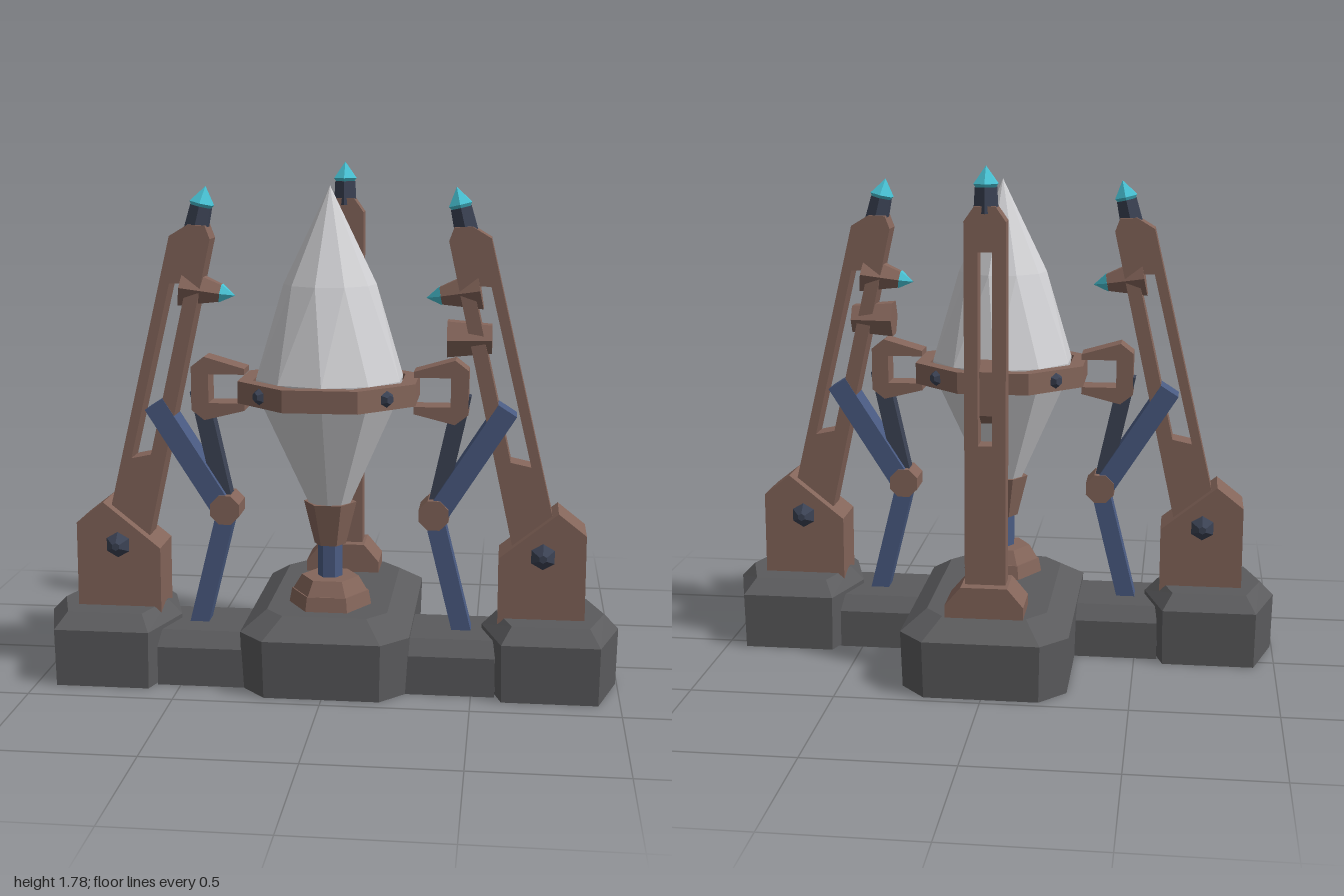
import * as THREE from 'three';

const mat = (name, color) => Object.assign(new THREE.MeshStandardMaterial({ color }), { name });

export function createModel() {
  const stone = mat('stone', 0x5b5b5d), bronze = mat('bronze', 0x84655a), blue = mat('blue steel', 0x4a5b82);
  const dark = mat('dark metal', 0x3c4355), cyan = mat('cyan crystal', 0x48c2d4), pale = mat('pale crystal', 0xd2d2d5);

  const root = new THREE.Group();
  root.name = 'crystalShrine';
  const CZ = 0.175; // depth of the crystal's axis
  const hub = new THREE.Group();
  hub.name = 'hub';
  hub.position.z = CZ;
  root.add(hub);

  // Faceted mesh with one normal per face
  function add(parent, name, geo, material, x = 0, y = 0, z = 0) {
    const g = geo.index ? geo.toNonIndexed() : geo;
    g.computeVertexNormals();
    const m = new THREE.Mesh(g, material);
    m.name = name;
    m.position.set(x, y, z);
    parent.add(m);
    return m;
  }

  // Frustum whose corners point along x when turned
  const frustum = (rTop, rBottom, h, n = 6, turn = 0) => new THREE.CylinderGeometry(rTop, rBottom, h, n).rotateY(turn);

  // Outline in x and y, extruded evenly about z = 0
  function plate(points, depth, hole) {
    const shape = new THREE.Shape(points.map(p => new THREE.Vector2(...p)));
    if (hole) shape.holes.push(new THREE.Path(hole.map(p => new THREE.Vector2(...p))));
    return new THREE.ExtrudeGeometry(shape, { depth, bevelEnabled: false }).translate(0, 0, -depth / 2);
  }

  // Convex x,z outline lofted through levels [y, scaleX, scaleZ]
  function loft(outline, levels) {
    const pos = [], n = outline.length;
    const at = (l, i) => [outline[i % n][0] * l[1], l[0], outline[i % n][1] * l[2]];
    for (let i = 0; i < n; i++) {
      for (let k = 0; k + 1 < levels.length; k++) {
        const a = at(levels[k], i), b = at(levels[k], i + 1), c = at(levels[k + 1], i + 1), d = at(levels[k + 1], i);
        pos.push(...a, ...b, ...c, ...a, ...c, ...d);
      }
      const lo = levels[0], hi = levels[levels.length - 1];
      pos.push(0, hi[0], 0, ...at(hi, i), ...at(hi, i + 1));
      pos.push(0, lo[0], 0, ...at(lo, i + 1), ...at(lo, i));
    }
    const g = new THREE.BufferGeometry();
    g.setAttribute('position', new THREE.Float32BufferAttribute(pos, 3));
    return g;
  }

  // Square bar between two points in the x,y plane
  function strut(parent, name, a, b, width, depth, material) {
    const dx = b[0] - a[0], dy = b[1] - a[1];
    const m = add(parent, name, new THREE.BoxGeometry(width, Math.hypot(dx, dy), depth), material,
      (a[0] + b[0]) / 2, (a[1] + b[1]) / 2, 0);
    m.rotation.z = -Math.atan2(dx, dy);
  }

  // Dark collar with a cyan gem, standing on a tower
  function finial(parent, x, y, tilt) {
    const g = new THREE.Group();
    g.name = 'finial';
    g.position.set(x, y, 0);
    g.rotation.z = tilt;
    add(g, 'finialCollar', frustum(0.04, 0.045, 0.085), dark, 0, 0.0275, 0);
    const gem = [[0.036, 0], [0.045, 0.013], [0, 0.072]].map(p => new THREE.Vector2(...p));
    add(g, 'finialGem', new THREE.LatheGeometry(gem, 6), cyan, 0, 0.068, 0);
    parent.add(g);
  }

  // Stone foundations
  add(root, 'centreBase', loft(
    [[-0.2, 0.47], [0.2, 0.47], [0.29, 0.37], [0.29, -0.37], [0.2, -0.47], [-0.2, -0.47], [-0.29, -0.37], [-0.29, 0.37]],
    [[0, 0.98, 0.98], [0.2, 1, 1], [0.26, 0.72, 0.78]]), stone, 0, 0, -0.01);
  const outerHex = [[-0.165, 0.235], [0.165, 0.235], [0.235, 0], [0.165, -0.235], [-0.165, -0.235], [-0.235, 0]];
  const midOutline = [[-0.16, 0.185], [0.16, 0.185], [0.16, -0.185], [-0.16, -0.185]];

  // Ring clamp: a C-shaped jaw
  const jaw = [[0.29, 1.09], [0.29, 1.07], [0.415, 1.07], [0.415, 0.97], [0.29, 0.97], [0.29, 0.945],
    [0.43, 0.91], [0.475, 0.945], [0.475, 1.095], [0.43, 1.13]];

  // Two leaning side towers
  for (const side of [1, -1]) {
    const t = new THREE.Group();
    t.name = side > 0 ? 'leftTower' : 'rightTower';
    t.rotation.y = side > 0 ? 0 : Math.PI;
    hub.add(t);
    add(t, 'outerBase', loft(outerHex, [[0, 0.98, 0.98], [0.2, 1, 1], [0.25, 0.79, 0.75]]), stone, 0.765);
    add(t, 'linkBase', loft(midOutline, [[0, 1, 1], [0.135, 1, 1], [0.185, 0.95, 0.74]]), stone, 0.42);
    add(t, 'towerHousing', plate([[0.585, 0.23], [0.88, 0.23], [0.88, 0.545], [0.785, 0.62], [0.585, 0.46]], 0.18), bronze);
    for (const s of [1, -1]) {
      const bolt = add(t, 'housingBolt', frustum(0.014, 0.047, 0.035), dark, 0.735, 0.47, s * 0.106);
      bolt.rotation.x = s * Math.PI / 2;
    }
    add(t, 'towerBeam', plate(
      [[0.64, 0.45], [0.8, 0.45], [0.543, 1.54], [0.48, 1.578], [0.42, 1.575], [0.403, 1.53]], 0.1,
      [[0.62, 0.785], [0.69, 0.77], [0.545, 1.38], [0.485, 1.38]]), bronze);
    finial(t, 0.456, 1.57, 0.23);

    // Inward spike with a cyan point
    const spike = new THREE.Group();
    spike.name = 'spike';
    spike.position.set(0.44, 1.355, 0);
    spike.rotation.z = Math.PI / 2 + 0.17;
    add(spike, 'spikeBody', frustum(0.032, 0.075, 0.14), bronze);
    add(spike, 'spikePoint', new THREE.ConeGeometry(0.036, 0.05, 6), cyan, 0, 0.09, 0);
    t.add(spike);
    if (side > 0) {
      const stub = add(t, 'spikeStub', frustum(0.07, 0.055, 0.15), bronze, 0.475, 1.2, 0);
      stub.rotation.z = Math.PI / 2;
    }

    // Jointed support arm
    strut(t, 'lowerStrut', [0.465, 0.165], [0.365, 0.57], 0.065, 0.07, blue);
    strut(t, 'towerStrut', [0.375, 0.6], [0.607, 0.962], 0.075, 0.104, blue);
    strut(t, 'clampStrut', [0.365, 0.6], [0.455, 1.01], 0.06, 0.06, dark);
    const knee = add(t, 'kneeJoint', frustum(0.055, 0.055, 0.12, 8, Math.PI / 8), bronze, 0.362, 0.595, 0);
    knee.rotation.x = Math.PI / 2;
    add(t, 'ringClamp', plate(jaw, 0.1), bronze);
  }

  // Upright rear tower
  const rear = new THREE.Group();
  rear.name = 'rearTower';
  rear.position.z = -0.302;
  root.add(rear);
  add(rear, 'rearFoot', plate([[-0.135, 0.25], [0.135, 0.25], [0.135, 0.3], [0.08, 0.365], [-0.08, 0.365], [-0.135, 0.3]], 0.16), bronze);
  add(rear, 'rearBeam', plate(
    [[-0.07, 0.33], [0.07, 0.33], [0.07, 1.6], [0.035, 1.65], [-0.035, 1.65], [-0.07, 1.6]], 0.077,
    [[-0.024, 0.85], [0.024, 0.85], [0.024, 1.5], [-0.024, 1.5]]), bronze);
  finial(rear, 0, 1.64, 0);
  add(hub, 'rearClamp', plate(jaw, 0.084), bronze).rotation.y = Math.PI / 2;

  // Octagonal ring with bolts on the diagonal faces
  const octagon = r => Array.from({ length: 8 }, (_, i) => {
    const a = (i + 0.5) * Math.PI / 4;
    return [r * Math.cos(a), r * Math.sin(a)];
  });
  add(hub, 'crystalRing', plate(octagon(0.325), 0.075, octagon(0.272)).rotateX(Math.PI / 2), bronze, 0, 1.022, 0);
  for (let i = 0; i < 4; i++) {
    const a = (i + 0.5) * Math.PI / 2;
    const g = frustum(0.015, 0.03, 0.02).rotateX(Math.PI / 2);
    add(hub, 'ringBolt', g, dark, 0.308 * Math.sin(a), 1.022, 0.308 * Math.cos(a)).rotation.y = a;
  }

  // Twisted ten-sided crystal
  const profile = [[0, 0.6], [0.065, 0.6], [0.25, 1.0], [0.257, 1.06], [0.158, 1.38], [0, 1.71]];
  const crystal = new THREE.LatheGeometry(profile.map(p => new THREE.Vector2(...p)), 10);
  const p = crystal.attributes.position;
  for (let i = 0; i < p.count; i++) {
    const a = p.getY(i) > 1.2 ? 0.42 : 0, x = p.getX(i), z = p.getZ(i);
    p.setX(i, x * Math.cos(a) + z * Math.sin(a));
    p.setZ(i, z * Math.cos(a) - x * Math.sin(a));
  }
  add(hub, 'crystal', crystal, pale);

  // Pedestal, stem and cup under the crystal
  const turn = Math.PI / 6;
  add(hub, 'pedestalBase', frustum(0.135, 0.148, 0.07, 6, turn), bronze, 0, 0.275, 0);
  add(hub, 'pedestalTop', frustum(0.1, 0.13, 0.05, 6, turn), bronze, 0, 0.335, 0);
  add(hub, 'stem', frustum(0.043, 0.043, 0.18, 6, turn), blue, 0, 0.41, 0);
  add(hub, 'cup', frustum(0.092, 0.055, 0.15, 6, turn), bronze, 0, 0.55, 0);

  return root;
}
